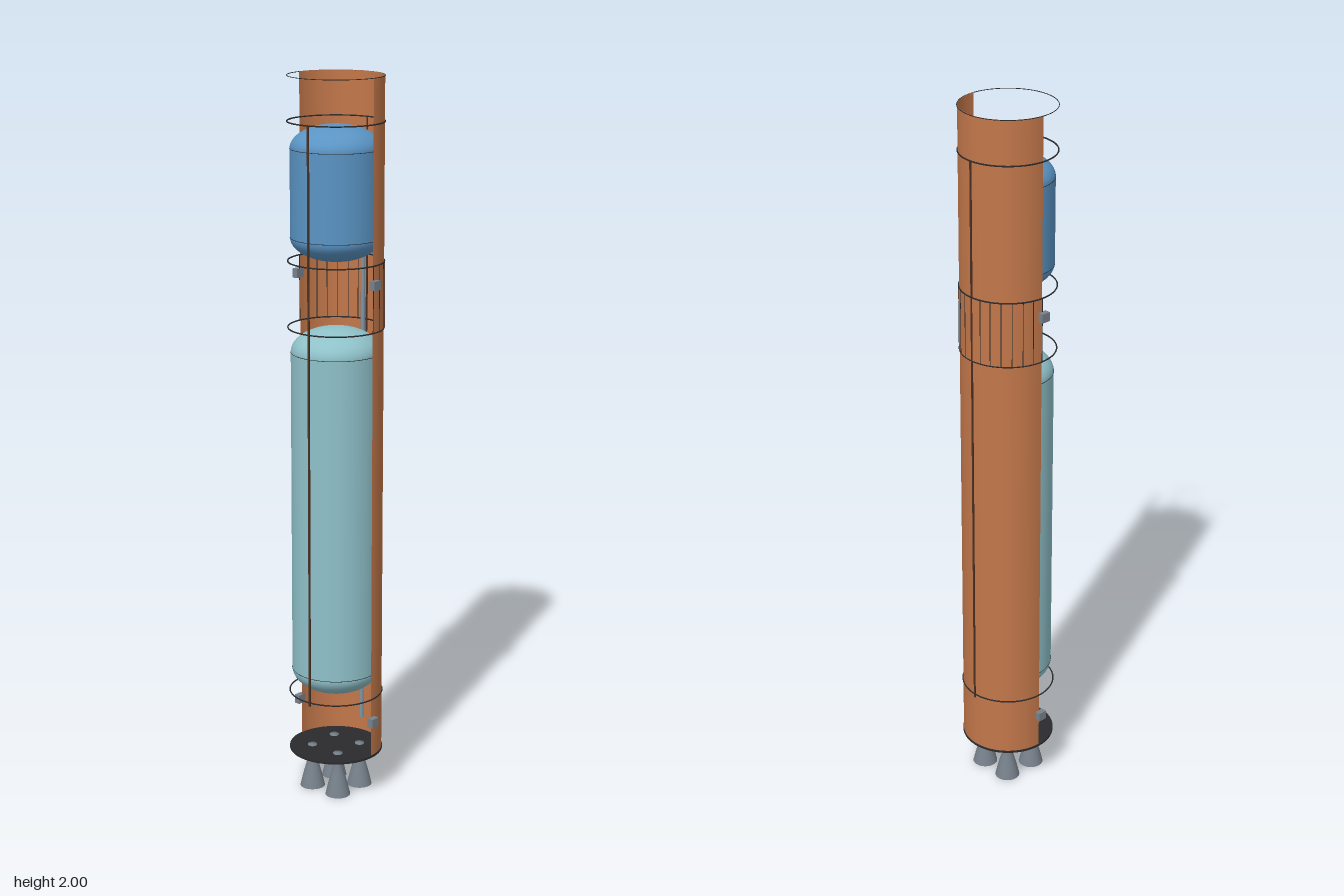
import * as THREE from 'three';

export function createModel() {
  const model = new THREE.Group();
  model.name = 'cutawayRocketStage';

  const mat = (name, color, double = false) => {
    const m = new THREE.MeshStandardMaterial({ color });
    m.name = name;
    if (double) m.side = THREE.DoubleSide;
    return m;
  };
  const orange = mat('orangeShell', 0xc2774a, true);
  const blue = mat('blueTank', 0x5a94c4);
  const teal = mat('tealTank', 0x8fc1c9);
  const grey = mat('engineGrey', 0x77818b, true);
  const dark = mat('darkFrame', 0x2b2b2d);
  const brown = mat('tunnelBrown', 0x4c3022);
  const pipeGrey = mat('pipeSteel', 0x7f95a3);

  const add = (name, geo, material, x = 0, y = 0, z = 0) => {
    const mesh = new THREE.Mesh(geo, material);
    mesh.name = name;
    mesh.position.set(x, y, z);
    model.add(mesh);
    return mesh;
  };
  const ring = (name, y, radius, tube) =>
    add(name, new THREE.TorusGeometry(radius, tube, 6, 96), dark, 0, y).rotation.x = Math.PI / 2;

  // Rear half of the outer skin, open to the front
  const halfShell = (name, y0, y1, r) =>
    add(name, new THREE.CylinderGeometry(r, r, y1 - y0, 64, 1, true, Math.PI / 2, Math.PI),
      orange, 0, (y0 + y1) / 2);
  halfShell('lowerShell', 0.12, 1.33, 0.128);
  halfShell('interstageShell', 1.33, 1.51, 0.1295);
  halfShell('upperShell', 1.51, 2, 0.128);

  // Full frame rings
  for (const y of [0.29, 1.33, 1.51, 1.88]) ring('frameRing', y, 0.129, 0.002);
  ring('topRing', 1.999, 0.129, 0.001);

  // Interstage stringers around the rear half
  for (let i = 0; i <= 14; i++) {
    const a = Math.PI / 2 + (i / 14) * Math.PI;
    add('stringer', new THREE.CylinderGeometry(0.0012, 0.0012, 0.18, 6), dark,
      0.1295 * Math.sin(a), 1.42, 0.1295 * Math.cos(a));
  }

  // Long conduits, one in front and one at the rear
  for (const a of [0.115, Math.PI]) {
    add('conduit', new THREE.BoxGeometry(0.005, 1.6, 0.004), brown,
      0.129 * Math.sin(a), 1.08, 0.129 * Math.cos(a)).rotation.y = a;
  }

  // Tanks with elliptical domes and weld seams
  const tank = (name, y0, y1, dome, material) => {
    const r = 0.122, n = 14, pts = [];
    for (let i = 0; i <= n; i++) {
      const t = (i / n) * Math.PI / 2;
      pts.push(new THREE.Vector2(r * Math.sin(t), y0 + dome - dome * Math.cos(t)));
    }
    for (let i = 0; i <= n; i++) {
      const t = (i / n) * Math.PI / 2;
      pts.push(new THREE.Vector2(r * Math.cos(t), y1 - dome + dome * Math.sin(t)));
    }
    add(name, new THREE.LatheGeometry(pts, 64), material);
    ring('tankSeam', y0 + dome, r, 0.0008);
    ring('tankSeam', y1 - dome, r, 0.0008);
  };
  tank('lowerTank', 0.29, 1.33, 0.068, teal);
  tank('upperTank', 1.51, 1.872, 0.063, blue);

  // Feed line along the inside of the rear wall
  add('feedLine', new THREE.CylinderGeometry(0.006, 0.006, 1.4, 12), pipeGrey, 0, 0.87, -0.112);

  // Thrust plate
  add('thrustPlate', new THREE.CylinderGeometry(0.13, 0.13, 0.006, 64), dark, 0, 0.119);

  // Four engines: chamber, throat and flared bell
  const bell = [[0, 0.125], [0.013, 0.125], [0.013, 0.105], [0.011, 0.095],
    [0.018, 0.066], [0.027, 0.033], [0.035, 0]]
    .reverse().map(([x, y]) => new THREE.Vector2(x, y));
  for (const x of [-0.047, 0.047])
    for (const z of [-0.047, 0.047])
      add('engine', new THREE.LatheGeometry(bell, 24), grey, x, 0, z);

  // Side attachment blocks
  for (const s of [-1, 1])
    for (const y of [0.225, 1.46])
      add('attachBlock', new THREE.BoxGeometry(0.017, 0.025, 0.026), grey, s * 0.1355, y, 0);

  return model;
}
